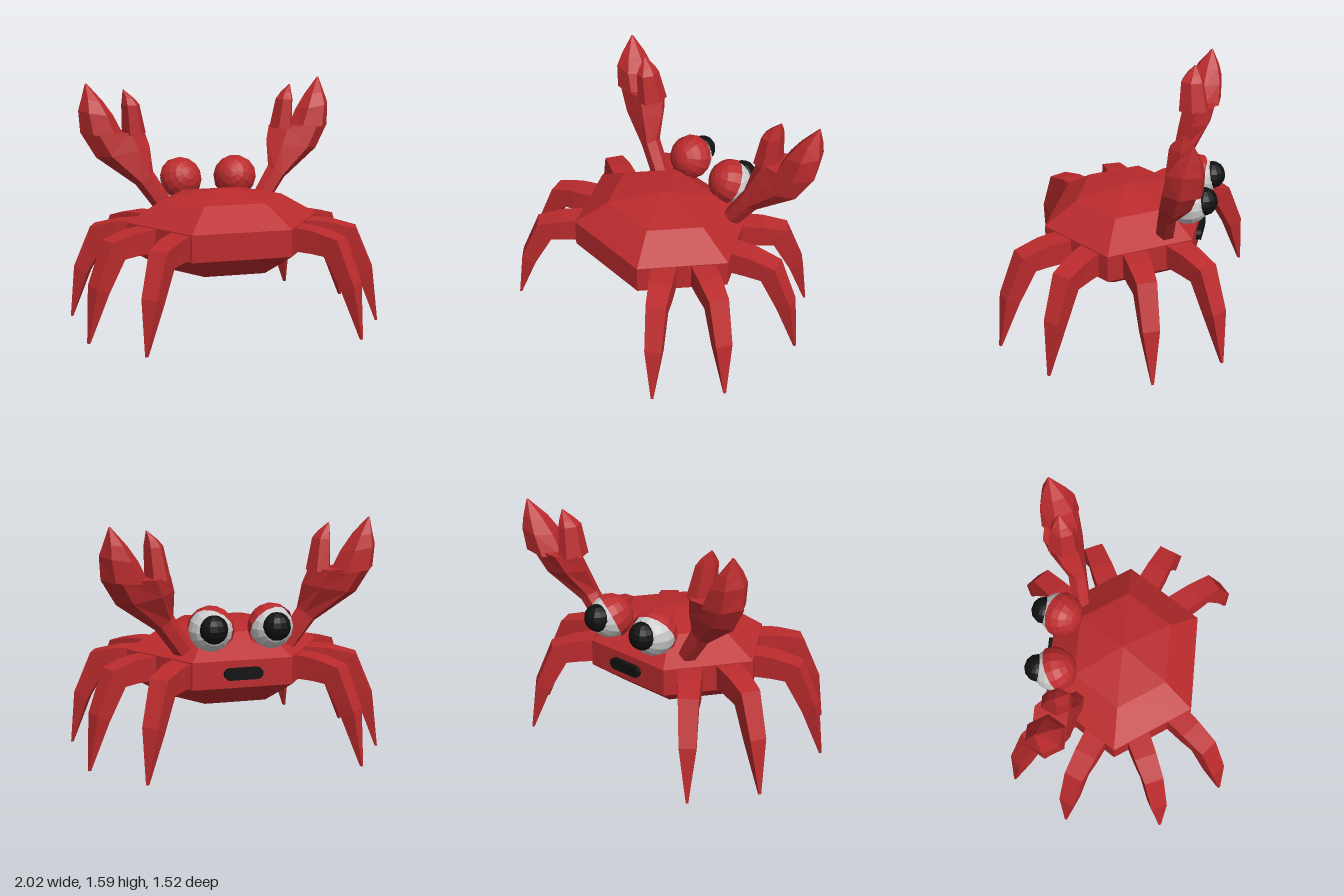
import * as THREE from 'three';

const mat = (color) => new THREE.MeshStandardMaterial({ color, flatShading: true, roughness: 0.8 });
const red = mat(0xbb2b2d), white = mat(0xd8d8d8), black = mat(0x111111);
const V = (x, y, z) => new THREE.Vector3(x, y, z);

function add(parent, name, geometry, material) {
  const mesh = new THREE.Mesh(geometry, material);
  mesh.name = name;
  parent.add(mesh);
  return mesh;
}

// Closed skin over a list of rings, turned outward by its signed volume
function loft(rings) {
  const n = rings[0].length, tris = [];
  for (let i = 0; i + 1 < rings.length; i++) {
    for (let j = 0; j < n; j++) {
      const k = (j + 1) % n, a = rings[i], b = rings[i + 1];
      tris.push([a[j], a[k], b[k]], [a[j], b[k], b[j]]);
    }
  }
  const first = rings[0], last = rings[rings.length - 1];
  for (let j = 1; j + 1 < n; j++) {
    tris.push([first[0], first[j + 1], first[j]], [last[0], last[j], last[j + 1]]);
  }
  let volume = 0;
  for (const [a, b, c] of tris) volume += a.dot(V(0, 0, 0).crossVectors(b, c));
  const points = tris.flatMap(([a, b, c]) => (volume > 0 ? [a, b, c] : [a, c, b]));
  const geometry = new THREE.BufferGeometry().setFromPoints(points);
  geometry.computeVertexNormals();
  return geometry;
}

// Leg: four-sided sweep; u runs outward along the leg and is 0 at the tip
function legGeometry(tip, angle) {
  const out = V(Math.cos(angle), 0, Math.sin(angle));
  const side = V(-out.z, 0, out.x);
  // top u, top y, bottom u, bottom y, half width
  const sections = [
    [-0.5, 0.71, -0.5, 0.55, 0.08],
    [-0.33, 0.7, -0.34, 0.55, 0.075],
    [-0.16, 0.66, -0.25, 0.54, 0.065],
    [-0.04, 0.38, -0.13, 0.33, 0.055],
    [0.005, tip.y, -0.01, tip.y, 0.008],
  ];
  return loft(sections.map(([tu, ty, bu, by, w]) =>
    [[tu, ty, w], [tu, ty, -w], [bu, by, -w], [bu, by, w]].map(([u, y, s]) =>
      V(tip.x, y, tip.z).addScaledVector(out, u).addScaledVector(side, s))));
}

// Claw piece: six-sided rings, each spanning inner to outer edge with a depth in z
function clawGeometry(sections, sign) {
  return loft(sections.map(([x0, y0, x1, y1, z, d]) => {
    const ring = [];
    for (let j = 0; j < 6; j++) {
      const a = (j * Math.PI) / 3, t = (1 + Math.cos(a)) / 2;
      const y = y0 + (y1 - y0) * t;
      const lean = sign < 0 ? 0.035 + (y - 0.8) * 0.09 : 0;
      ring.push(V(sign * (x0 + (x1 - x0) * t), y, z + lean + d * 1.12 * Math.sin(a)));
    }
    return ring;
  }));
}

export function createModel() {
  const crab = new THREE.Group();
  crab.name = 'crab';

  // Six-sided shell, domed above and below
  const profile = [[0, 0.335], [0.41, 0.39], [0.66, 0.535], [0.66, 0.715], [0.41, 0.86], [0, 0.92]];
  const shell = new THREE.LatheGeometry(
    profile.map(([r, y]) => new THREE.Vector2(r, y)), 6, Math.PI / 6);
  shell.scale(1, 1, 0.857);
  add(crab, 'shell', shell, red);

  // Four legs per side; each side is the other turned half a circle
  const legs = [
    ['rearLeg', V(0.74, 0.015, 0.71), 0.86],
    ['rearMiddleLeg', V(1.0, 0.01, 0.315), 0.4],
    ['frontMiddleLeg', V(0.98, 0.015, -0.35), -0.43],
    ['frontLeg', V(0.68, 0.03, -0.75), -0.86],
  ];
  for (const turn of [0, Math.PI]) {
    for (const [i, [, tip, angle]] of legs.entries()) {
      const name = (turn ? 'right' : 'left') + legs[turn ? 3 - i : i][0];
      add(crab, name, legGeometry(tip, angle), red).rotation.y = turn;
    }
  }

  // Raised claws: arm and palm, large outer finger, small inner finger
  const palm = [
    [0.29, 0.79, 0.4, 0.72, -0.315, 0.06],
    [0.42, 1.0, 0.54, 0.91, -0.35, 0.06],
    [0.43, 1.17, 0.8, 1.1, -0.43, 0.1],
    [0.46, 1.27, 0.9, 1.27, -0.47, 0.11],
  ];
  const outerFinger = [
    [0.6, 1.24, 0.9, 1.27, -0.48, 0.12],
    [0.67, 1.38, 0.91, 1.42, -0.5, 0.11],
    [0.74, 1.48, 0.885, 1.5, -0.52, 0.075],
    [0.845, 1.6, 0.855, 1.6, -0.55, 0.005],
  ];
  const innerFinger = [
    [0.455, 1.26, 0.62, 1.25, -0.44, 0.1],
    [0.5, 1.46, 0.625, 1.46, -0.44, 0.075],
    [0.535, 1.5, 0.618, 1.51, -0.45, 0.05],
    [0.605, 1.56, 0.612, 1.56, -0.46, 0.005],
  ];
  for (const sign of [1, -1]) {
    const claw = new THREE.Group();
    claw.name = sign > 0 ? 'leftClaw' : 'rightClaw';
    add(claw, 'armAndPalm', clawGeometry(palm, sign), red);
    add(claw, 'outerFinger', clawGeometry(outerFinger, sign), red);
    add(claw, 'innerFinger', clawGeometry(innerFinger, sign), red);
    crab.add(claw);
  }

  // Eyes: white ball, half-round lid behind and above, black pupil ahead
  const lidAxes = { 1: V(-0.42, 0.42, 0.8), '-1': V(0.24, 0.42, 0.87) };
  for (const sign of [1, -1]) {
    const eye = new THREE.Group();
    eye.name = sign > 0 ? 'leftEye' : 'rightEye';
    eye.position.set(sign * 0.2, 0.915, -0.44);
    const ball = new THREE.SphereGeometry(0.142, 14, 10);
    ball.rotateX(Math.PI / 2);
    add(eye, 'eyeball', ball, white);
    const lidMaterial = red.clone();
    lidMaterial.side = THREE.DoubleSide;
    const lid = add(eye, 'eyelid',
      new THREE.SphereGeometry(0.153, 14, 5, 0, Math.PI * 2, 0, Math.PI / 2), lidMaterial);
    lid.quaternion.setFromUnitVectors(V(0, 1, 0), lidAxes[sign].normalize());
    const pupil = add(eye, 'pupil', new THREE.SphereGeometry(0.092, 12, 8), black);
    pupil.position.set(sign * 0.005, 0.02, -0.107);
    pupil.scale.z = 0.95;
    crab.add(eye);
  }

  // Mouth: thin rounded bar on the front face
  const half = 0.09, r = 0.038;
  const outline = new THREE.Shape();
  outline.absarc(half, 0, r, -Math.PI / 2, Math.PI / 2);
  outline.absarc(-half, 0, r, Math.PI / 2, Math.PI * 1.5);
  const mouth = add(crab, 'mouth',
    new THREE.ExtrudeGeometry(outline, { depth: 0.04, bevelEnabled: false, curveSegments: 5 }), black);
  mouth.position.set(0, 0.63, -0.52);

  return crab;
}
